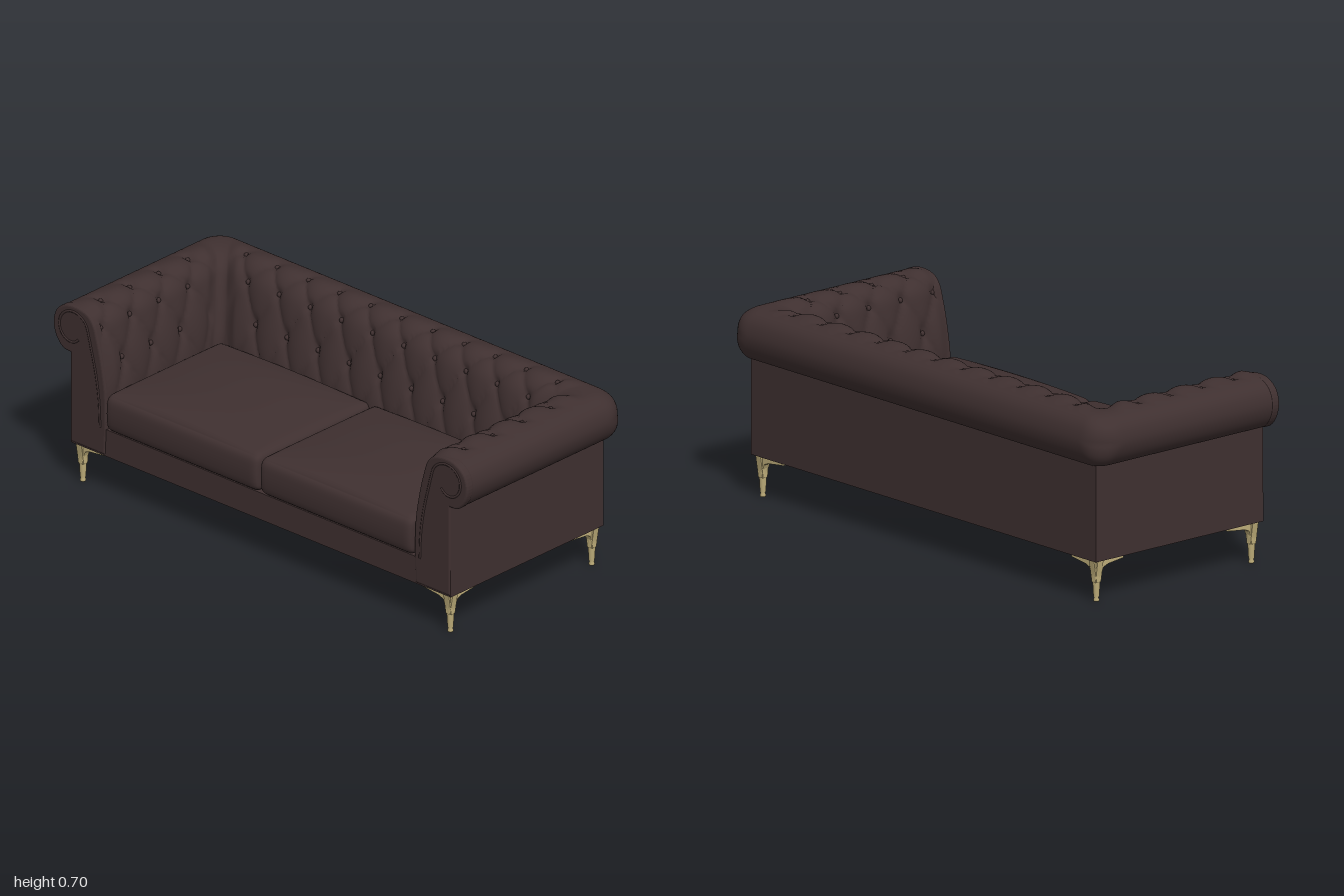
import * as THREE from 'three';
import { mergeVertices } from 'three/addons/utils/BufferGeometryUtils.js';

const FRONT = 0.41;   // z of the front face
const PITCH = 0.15;   // spacing of the tufting buttons

// Padding cross-section: (x on the arms, y, z on the back), outer edge to seat
const profile = new THREE.CatmullRomCurve3([
  [0.912, 0.508, -0.378], [0.95, 0.513, -0.4], [0.983, 0.55, -0.424], [0.996, 0.6, -0.432],
  [0.982, 0.65, -0.418], [0.942, 0.682, -0.385], [0.885, 0.69, -0.33], [0.83, 0.676, -0.28],
  [0.803, 0.645, -0.25], [0.788, 0.6, -0.23], [0.772, 0.54, -0.212], [0.758, 0.47, -0.192],
  [0.748, 0.4, -0.175], [0.744, 0.28, -0.165],
].map(p => new THREE.Vector3(...p)));
const LAST = 13;
const rowOf = i => (i - 6.2) / 2.2;      // tufting row at a profile index
const indexOf = row => 6.2 + row * 2.2;

// Tufted relief: puffed diamonds with creases and button dimples
function tuft(s, row) {
  const a = s / PITCH + row / 2, b = s / PITCH - row / 2;
  const puff = Math.sqrt(Math.abs(Math.sin(Math.PI * a) * Math.sin(Math.PI * b)));
  const da = a - Math.round(a), db = b - Math.round(b);
  return 0.017 * puff - 0.015 * Math.exp(-(da * da + db * db) / 0.02);
}

// Path of one profile point round the U: arm, rounded corner, back, corner, arm
function uPath(p, r) {
  const half = [], ARM = 56, ARC = 10, BACK = 84;
  for (let k = 0; k < ARM; k++) {
    const z = THREE.MathUtils.lerp(FRONT, p.z + r, k / ARM);
    half.push([p.x, z, z, Math.min(FRONT - z, z - p.z - r)]);
  }
  for (let k = 0; k < ARC; k++) {
    const a = k / ARC * Math.PI / 2;
    half.push([p.x - r + r * Math.cos(a), p.z + r - r * Math.sin(a), 0, 0]);
  }
  for (let k = 0; k < BACK; k++) {
    const x = (p.x - r) * (1 - k / BACK);
    half.push([x, p.z, x, p.x - r - x]);
  }
  const mirrored = half.map(([x, z, s, d]) => [-x, z, s, d]).reverse();
  return [...half, [0, p.z, 0, 1], ...mirrored];
}

function paddingGeometry() {
  const pos = [], relief = [], idx = [], N = 70;
  let M = 0;
  for (let n = 0; n <= N; n++) {
    const i = n / N * LAST, row = rowOf(i), p = profile.getPoint(n / N);
    const r = i < 3 ? 0.02 + 0.03 * i : Math.max(0.03, 0.11 - 0.02 * (i - 3));
    const path = uPath(p, r);
    M = path.length;
    const rowFade = THREE.MathUtils.smoothstep(row, -0.6, 0.2);
    for (const [x, z, s, d] of path) {
      pos.push(x, p.y, z);
      relief.push(tuft(s, row) * rowFade * THREE.MathUtils.clamp(d / 0.05, 0, 1));
    }
  }
  for (let n = 0; n < N; n++) for (let j = 0; j < M - 1; j++) {
    const a = n * M + j, b = a + 1, c = a + M, d = c + 1;
    idx.push(a, b, c, b, d, c);
  }
  const g = new THREE.BufferGeometry();
  g.setAttribute('position', new THREE.Float32BufferAttribute(pos, 3));
  g.setIndex(idx);
  g.computeVertexNormals();
  const P = g.attributes.position, Nn = g.attributes.normal;
  for (let k = 0; k < P.count; k++) {
    P.setXYZ(k, P.getX(k) + Nn.getX(k) * relief[k], P.getY(k) + Nn.getY(k) * relief[k], P.getZ(k) + Nn.getZ(k) * relief[k]);
  }
  g.computeVertexNormals();
  return g;
}

// Soft cushion: a box with rounded edges and a crowned top
function cushionGeometry(w, h, d, r, crown) {
  let g = new THREE.BoxGeometry(2, 2, 2, 28, 14, 24);
  g.deleteAttribute('uv');
  g.deleteAttribute('normal');
  g = mergeVertices(g);
  const P = g.attributes.position, v = new THREE.Vector3(), q = new THREE.Vector3();
  const half = new THREE.Vector3(w / 2, h / 2, d / 2), core = half.clone().subScalar(r);
  for (let k = 0; k < P.count; k++) {
    v.fromBufferAttribute(P, k);
    const u = v.clone().set(...v.toArray().map(c => Math.sin(c * Math.PI / 2)));
    v.copy(u).multiply(half);
    q.copy(v).clamp(core.clone().negate(), core);
    v.sub(q).setLength(r).add(q);
    if (u.y > 0) v.y += crown * u.y * (1 - u.x * u.x) * (1 - u.z ** 4);
    if (u.z > 0) v.z += 0.01 * u.z * (1 - u.y * u.y);
    P.setXYZ(k, v.x, v.y, v.z);
  }
  g.computeVertexNormals();
  return g;
}

export function createModel() {
  const sofa = new THREE.Group();
  sofa.name = 'sofa';
  const leather = new THREE.MeshStandardMaterial({ color: 0x3f3030 });
  leather.name = 'brown leather';
  const paddingLeather = new THREE.MeshStandardMaterial({ color: 0x3f3030, side: THREE.DoubleSide });
  paddingLeather.name = 'brown leather padding';
  const brass = new THREE.MeshStandardMaterial({ color: 0xbfae7a });
  brass.name = 'brass';

  const add = (name, geometry, material, parent = sofa) => {
    const m = new THREE.Mesh(geometry, material);
    m.name = name;
    parent.add(m);
    return m;
  };
  const box = (name, x0, x1, y0, y1, z0, z1) =>
    add(name, new THREE.BoxGeometry(x1 - x0, y1 - y0, z1 - z0), leather)
      .position.set((x0 + x1) / 2, (y0 + y1) / 2, (z0 + z1) / 2);

  // Frame
  box('base', -0.915, 0.915, 0.153, 0.258, -0.38, FRONT);
  box('backWall', -0.915, 0.915, 0.2, 0.513, -0.38, -0.24);
  box('leftArmWall', 0.8, 0.915, 0.2, 0.513, -0.38, 0.408);
  box('rightArmWall', -0.915, -0.8, 0.2, 0.513, -0.38, 0.408);

  // Rolled, tufted arms and back
  add('tuftedPadding', paddingGeometry(), paddingLeather);

  // Buttons
  const buttons = new THREE.Group();
  buttons.name = 'buttons';
  sofa.add(buttons);
  const buttonGeometry = new THREE.SphereGeometry(0.01, 10, 8);
  for (let row = 0; row <= 2; row++) {
    const t = indexOf(row) / LAST, p = profile.getPoint(t);
    const e = profile.getPoint(t + 0.01).sub(profile.getPoint(t - 0.01));
    const inset = -0.011;
    const backN = new THREE.Vector2(-e.y, e.z).setLength(inset);
    const armN = new THREE.Vector2(e.y, -e.x).setLength(inset);
    for (let k = -7; k <= 7; k++) {
      const s = (k + (row % 2) / 2) * PITCH;
      if (Math.abs(s) < p.x - 0.06)
        add('backButton', buttonGeometry, leather, buttons).position.set(s, p.y + backN.y, p.z + backN.x);
      if (s > p.z + 0.06 && s < 0.38) for (const side of [1, -1])
        add('armButton', buttonGeometry, leather, buttons).position.set(side * (p.x + armN.x), p.y + armN.y, s);
    }
  }

  // Arm fronts with scroll piping
  const outline = profile.getPoints(52);
  for (const side of [1, -1]) {
    const name = side > 0 ? 'left' : 'right';
    const shape = new THREE.Shape([
      ...outline.map(p => new THREE.Vector2(side * p.x, p.y)),
      new THREE.Vector2(side * 0.75, 0.16), new THREE.Vector2(side * 0.912, 0.16),
    ]);
    const panel = new THREE.ExtrudeGeometry(shape, {
      depth: 0.02, bevelThickness: 0.008, bevelSize: 0.008, bevelOffset: -0.006, bevelSegments: 3,
    });
    add(name + 'ArmFront', panel, leather).position.z = 0.386;

    const path = [];
    for (let a = 0; a <= 9; a++) {
      const ang = -2.4 + a * 0.62, r = 0.045 + 0.004 * a;
      path.push(new THREE.Vector3(side * (0.905 + r * Math.cos(ang)), 0.6 + r * Math.sin(ang), 0.413));
    }
    for (const [x, y] of [[0.812, 0.55], [0.79, 0.46], [0.775, 0.36], [0.77, 0.26]])
      path.push(new THREE.Vector3(side * x, y, 0.413));
    add(name + 'ScrollPiping', new THREE.TubeGeometry(new THREE.CatmullRomCurve3(path), 70, 0.005, 6), leather);
  }

  // Seat cushions
  const cushion = cushionGeometry(0.735, 0.148, 0.595, 0.028, 0.032);
  for (const side of [1, -1])
    add(side > 0 ? 'leftCushion' : 'rightCushion', cushion, leather).position.set(side * 0.371, 0.33, 0.123);

  // Legs: tapered post with two bracket arms along the edges of the base
  const bracketShape = new THREE.Shape([
    [0.002, 0.156], [0.145, 0.156], [0.145, 0.139], [0.07, 0.13], [0.05, 0.122], [0.041, 0.1], [0.038, 0.07], [0.016, 0.07],
  ].map(p => new THREE.Vector2(...p)));
  const bracket = new THREE.ExtrudeGeometry(bracketShape, {
    depth: 0.018, bevelThickness: 0.006, bevelSize: 0.004, bevelOffset: -0.004, bevelSegments: 2,
  });
  const post = new THREE.LatheGeometry([
    [0, 0], [0.01, 0], [0.011, 0.006], [0.008, 0.013], [0.0105, 0.018], [0.0135, 0.07], [0.018, 0.115], [0.023, 0.155], [0, 0.156],
  ].map(p => new THREE.Vector2(...p)), 16);
  const corners = [
    ['backRightLeg', -0.912, -0.378, 0], ['frontRightLeg', -0.912, 0.406, 1],
    ['frontLeftLeg', 0.912, 0.406, 2], ['backLeftLeg', 0.912, -0.378, 3],
  ];
  for (const [name, x, z, turn] of corners) {
    const leg = new THREE.Group();
    leg.name = name;
    leg.position.set(x, 0, z);
    leg.rotation.y = turn * Math.PI / 2;
    add('post', post, brass, leg).position.set(0.027, 0, 0.027);
    add('sideBracket', bracket, brass, leg).position.z = 0.018;
    const other = add('crossBracket', bracket, brass, leg);
    other.rotation.y = -Math.PI / 2;
    other.position.x = 0.036;
    sofa.add(leg);
  }
  return sofa;
}
